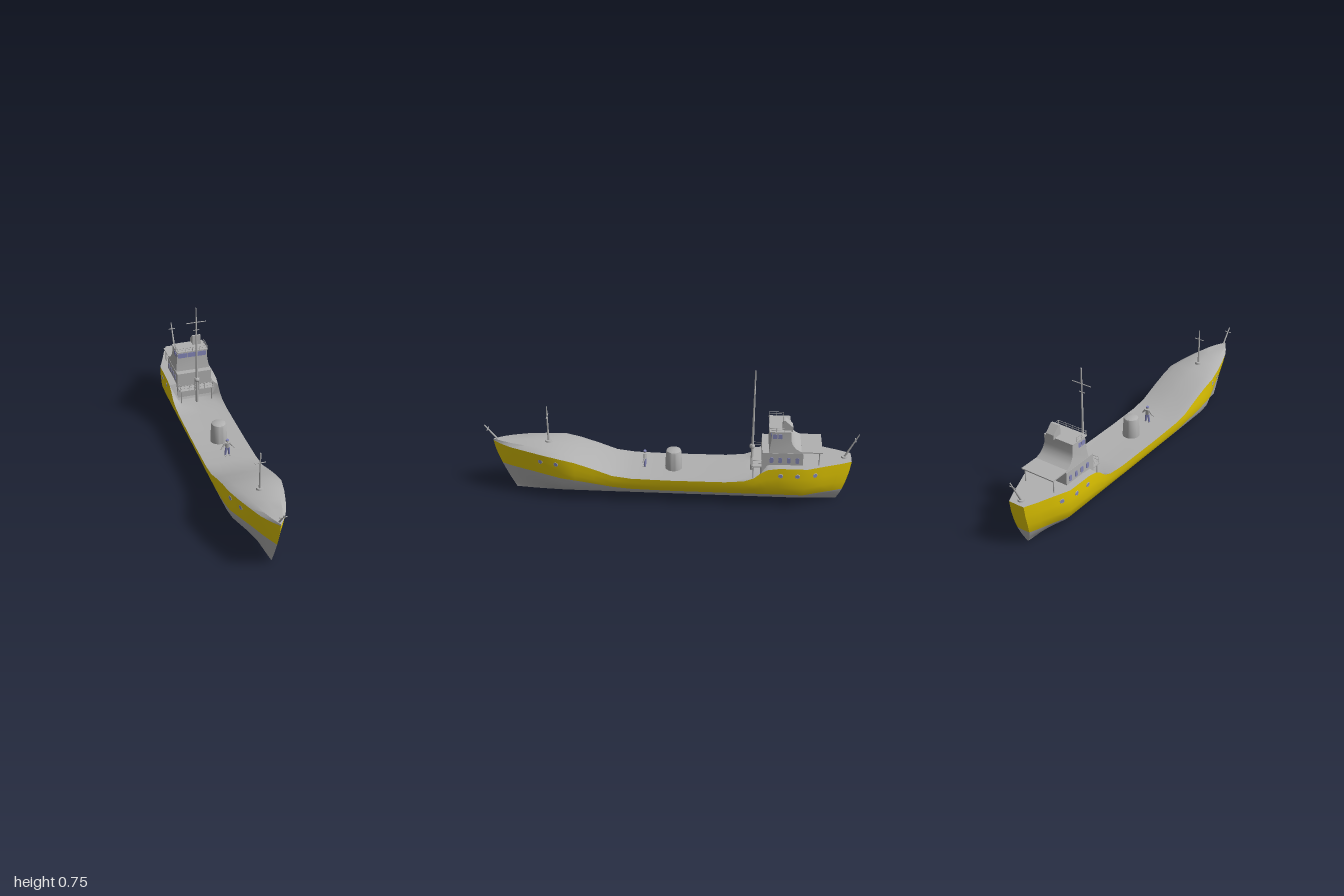
import * as THREE from 'three';
import { toCreasedNormals } from 'three/addons/utils/BufferGeometryUtils.js';

const mat = (name, color) => Object.assign(new THREE.MeshStandardMaterial({ color }), { name });
const grey = mat('grey paint', 0xb0b0b0);
const yellow = mat('yellow paint', 0xe3c800);
const blue = mat('blue glass and cloth', 0x8486b8);

// Hull stations from bow to stern: z, half width, deck edge y, paint line y, inner deck y
const stations = [
  [0.955, 0, 0.29, 0.15, 0.3], [0.9, 0.038, 0.288, 0.15, 0.302], [0.85, 0.064, 0.286, 0.149, 0.302],
  [0.77, 0.092, 0.283, 0.147, 0.302], [0.68, 0.118, 0.276, 0.145, 0.297], [0.58, 0.14, 0.266, 0.142, 0.284],
  [0.5, 0.14, 0.247, 0.135, 0.26], [0.4, 0.14, 0.213, 0.118, 0.222], [0.3, 0.14, 0.175, 0.097, 0.18],
  [0.2, 0.14, 0.162, 0.086, 0.162], [0, 0.14, 0.158, 0.08, 0.158], [-0.3, 0.14, 0.16, 0.08, 0.158],
  [-0.4, 0.14, 0.17, 0.08, 0.16], [-0.45, 0.14, 0.19, 0.08, 0.16], [-0.485, 0.14, 0.222, 0.08, 0.16],
  [-0.52, 0.14, 0.244, 0.08, 0.25], [-0.58, 0.14, 0.254, 0.08, 0.255], [-0.73, 0.14, 0.255, 0.08, 0.255],
  [-0.83, 0.1, 0.255, 0.08, 0.255], [-0.9, 0.074, 0.255, 0.08, 0.255], [-0.965, 0.045, 0.255, 0.08, 0.255],
  [-0.966, 0, 0.255, 0.08, 0.255],
];
const section = [[0, 0.14], [0.02, 0.36], [0.045, 0.62], [0.083, 0.86], [0.12, 0.95], [0.155, 1], [9, 1]];
const { lerp, clamp, smoothstep } = THREE.MathUtils;

// Linear lookup of column c in a table keyed by its first column
function lookup(table, t, c) {
  const sorted = [...table].sort((a, b) => a[0] - b[0]);
  let i = 0;
  while (i < sorted.length - 2 && sorted[i + 1][0] < t) i++;
  const [a, b] = [sorted[i], sorted[i + 1]];
  return lerp(a[c], b[c], clamp((t - a[0]) / (b[0] - a[0]), 0, 1));
}

// Half width and raked z of the hull skin at height y
function hullPoint(z, w, top, y) {
  const bow = smoothstep(z, 0.45, 0.9), up = clamp(y / top, 0, 1);
  const full = lerp(lookup(section, y, 1), 0.14 + 0.86 * up, bow * 0.8);
  const rake = z > 0 ? -0.11 * smoothstep(z, 0.5, 0.955) : 0.065 * smoothstep(-z, 0.55, 0.965);
  return [w * full, z + rake * (1 - up) ** 1.4];
}

// Surface through equal-length rows; bandOf gives the material index of each column
function skin(rows, flip, bandOf = () => 0, crease = 0.7) {
  const n = rows[0].length, bands = [[], []];
  for (let i = 0; i < rows.length - 1; i++) for (let k = 0; k < n - 1; k++) {
    const a = i * n + k, b = a + 1, c = b + n, d = a + n;
    bands[bandOf(k)].push(...(flip ? [a, c, b, a, d, c] : [a, b, c, a, c, d]));
  }
  const g = new THREE.BufferGeometry();
  g.setAttribute('position', new THREE.Float32BufferAttribute(rows.flat(2), 3));
  g.setIndex(bands.flat());
  g.addGroup(0, bands[0].length, 0);
  g.addGroup(bands[0].length, bands[1].length, 1);
  return toCreasedNormals(g, crease);
}

function add(parent, name, geo, material, x = 0, y = 0, z = 0) {
  const m = new THREE.Mesh(geo, material);
  m.name = name;
  m.position.set(x, y, z);
  parent.add(m);
  return m;
}
function group(parent, name) {
  const g = new THREE.Group();
  g.name = name;
  parent.add(g);
  return g;
}
const box = (p, name, w, h, d, x, y, z, m = grey) => add(p, name, new THREE.BoxGeometry(w, h, d), m, x, y, z);

// Round bar from a to b with end radii
function bar(p, name, a, b, r0 = 0.0018, r1 = r0, m = grey) {
  const A = new THREE.Vector3(...a), B = new THREE.Vector3(...b), dir = B.clone().sub(A);
  const mesh = add(p, name, new THREE.CylinderGeometry(r1, r0, dir.length(), 10), m);
  mesh.position.copy(A).add(B).multiplyScalar(0.5);
  mesh.quaternion.setFromUnitVectors(new THREE.Vector3(0, 1, 0), dir.normalize());
}

// Railing along floor points, with posts and two rails
function railing(p, name, pts, h) {
  const g = group(p, name);
  const up = ([x, y, z], k) => [x, y + h * k, z];
  pts.forEach((a, i) => {
    bar(g, 'railPost', a, up(a, 1), 0.0015);
    if (i) for (const k of [0.5, 1]) bar(g, 'rail', up(pts[i - 1], k), up(a, k), 0.0013);
  });
}

// Side profile of [z, y] points extruded across x, narrowed with height by taper(y)
function profile(pts, width, taper = () => 1) {
  const g = new THREE.ExtrudeGeometry(new THREE.Shape(pts.map(q => new THREE.Vector2(...q))),
    { depth: width, bevelEnabled: false });
  g.rotateY(-Math.PI / 2).translate(width / 2, 0, 0);
  const pos = g.attributes.position;
  for (let i = 0; i < pos.count; i++) pos.setX(i, pos.getX(i) * taper(pos.getY(i)));
  return toCreasedNormals(g, 0.5);
}

// Thin rounded window pane facing +z
function pane(w, h, r) {
  const s = new THREE.Shape(), x = w / 2 - r, y = h / 2 - r;
  s.absarc(x, y, r, 0, Math.PI / 2).absarc(-x, y, r, Math.PI / 2, Math.PI);
  s.absarc(-x, -y, r, Math.PI, Math.PI * 1.5).absarc(x, -y, r, Math.PI * 1.5, Math.PI * 2);
  return new THREE.ExtrudeGeometry(s, { depth: 0.004, bevelEnabled: false, curveSegments: 5 });
}

export function createModel() {
  const ship = new THREE.Group();
  ship.name = 'cargoShip';

  // Hull: grey below the paint line, yellow above
  const hullRows = stations.map(([z, w, top, line]) => {
    const ys = [1, 0.65, 0.3].map(k => lerp(line, top, k)).concat([1, 0.8, 0.6, 0.4, 0.2, 0].map(k => line * k));
    const side = ys.map(y => { const [x, pz] = hullPoint(z, w, top, y); return [x, y, pz]; });
    return [...side, ...[...side].reverse().map(([x, y, pz]) => [-x, y, pz])];
  });
  add(ship, 'hull', skin(hullRows, false, k => (k < 3 || k > 13 ? 1 : 0), 0.9), [grey, yellow]);

  // Deck with raised inner part fore and aft
  const deckRows = stations.map(([z, w, top, , inner]) =>
    [[1, top], [0.71, inner], [0, inner], [-0.71, inner], [-1, top]].map(([k, y]) => [w * k, y, z]));
  add(ship, 'deck', skin(deckRows, true), [grey, grey]);

  // Portholes set along the hull sides
  for (const [z, y] of [[0.69, 0.23], [0.6, 0.23], [-0.59, 0.21], [-0.68, 0.21], [-0.775, 0.21]]) {
    const at = q => hullPoint(q, lookup(stations, q, 1), lookup(stations, q, 2), y);
    const [x, pz] = at(z), [x2, z2] = at(z - 0.02);
    for (const s of [1, -1]) {
      const g = group(ship, 'porthole');
      g.position.set(s * x, y, pz);
      g.rotation.y = s * (Math.PI / 2 - Math.atan2(x2 - x, pz - z2));
      add(g, 'portholeRim', new THREE.TorusGeometry(0.011, 0.0025, 8, 20), grey);
      add(g, 'portholeGlass', new THREE.CylinderGeometry(0.011, 0.011, 0.004, 20).rotateX(Math.PI / 2), blue);
    }
  }

  // Deckhouse, bridge and funnel
  const house = group(ship, 'deckhouse');
  box(house, 'lowerHouse', 0.2, 0.165, 0.215, 0, 0.2425, -0.5975);
  const bridge = [[-0.525, 0.325], [-0.535, 0.4], [-0.535, 0.443], [-0.635, 0.443], [-0.637, 0.4],
    [-0.645, 0.375], [-0.665, 0.35], [-0.7, 0.332], [-0.7, 0.325]];
  add(house, 'bridge', profile(bridge, 0.196, y => lerp(1, 0.9, clamp((y - 0.325) / 0.07, 0, 1))), grey);
  box(house, 'bridgeRoof', 0.18, 0.005, 0.115, 0, 0.444, -0.5785);
  add(house, 'funnel', profile([[-0.59, 0.44], [-0.592, 0.503], [-0.603, 0.503], [-0.645, 0.465], [-0.645, 0.44]], 0.048),
    grey, 0.045, 0, 0);
  for (const x of [-0.057, 0, 0.057]) add(house, 'bridgeWindow', pane(0.054, 0.028, 0.005), blue, x, 0.417, -0.537);
  for (const s of [1, -1]) {
    for (const z of [-0.54, -0.585, -0.63, -0.675])
      add(house, 'cabinWindow', pane(0.019, 0.032, 0.007), blue, s * 0.099, 0.283, z).rotation.y = s * Math.PI / 2;
    for (const z of [-0.553, -0.58])
      add(house, 'bridgeSideWindow', pane(0.022, 0.026, 0.004), blue, s * 0.0865, 0.419, z).rotation.y = s * Math.PI / 2;
    bar(house, 'awningPost', [s * 0.088, 0.25, -0.79], [s * 0.088, 0.333, -0.79], 0.003);
    bar(house, 'platformPost', [s * 0.09, 0.155, -0.447], [s * 0.09, 0.238, -0.447], 0.003);
  }
  box(house, 'awning', 0.196, 0.006, 0.11, 0, 0.332, -0.75);
  box(house, 'frontPlatform', 0.2, 0.006, 0.055, 0, 0.238, -0.465);
  const xs = [-0.087, -0.04, 0, 0.04, 0.087];
  railing(house, 'roofRailing', [[-0.087, 0.446, -0.6], [-0.087, 0.446, -0.56], ...xs.map(x => [x, 0.446, -0.523]),
    [0.087, 0.446, -0.56], [0.087, 0.446, -0.6]], 0.023);
  railing(house, 'platformRailing', [[-0.097, 0.24, -0.49], ...xs.map(x => [x * 1.1, 0.24, -0.44]), [0.097, 0.24, -0.49]], 0.034);

  // Masts and slanted staffs with crossbars: foot, tip, radii, [fraction, half length]
  const masts = [
    ['mainMast', [0, 0.16, -0.44], [0, 0.755, -0.44], 0.008, 0.0035, [[0.852, 0.057], [0.773, 0.017]]],
    ['foreMast', [0, 0.285, 0.655], [0, 0.505, 0.655], 0.006, 0.003, [[0.74, 0.028]]],
    ['bowStaff', [0, 0.295, 0.93], [0, 0.382, 0.998], 0.005, 0.003, [[0.75, 0.02]]],
    ['sternStaff', [0, 0.25, -0.925], [0, 0.395, -0.998], 0.006, 0.003, [[0.76, 0.02]]],
  ];
  for (const [name, a, b, r0, r1, bars] of masts) {
    const g = group(ship, name);
    bar(g, 'pole', a, b, r0, r1);
    for (const [t, w] of bars) {
      const y = lerp(a[1], b[1], t), z = lerp(a[2], b[2], t);
      bar(g, 'crossbar', [-w, y, z], [w, y, z], 0.0025);
    }
  }
  add(ship, 'foreMastFoot', new THREE.CylinderGeometry(0.016, 0.02, 0.012, 20), grey, 0, 0.297, 0.655);
  add(ship, 'sternStaffFoot', new THREE.CylinderGeometry(0.016, 0.018, 0.01, 20), grey, 0, 0.258, -0.928);
  add(ship, 'mastLamp', new THREE.SphereGeometry(0.015, 14, 10), grey, 0, 0.305, -0.438);
  for (const x of [-0.012, 0.012]) bar(ship, 'mastStay', [x, 0.24, -0.438], [x, 0.318, -0.438], 0.003);

  // Ventilator drum on the well deck
  const drum = [[0.046, 0], [0.046, 0.012], [0.041, 0.1], [0.038, 0.108], [0.028, 0.113], [0, 0.115]];
  add(ship, 'deckDrum', toCreasedNormals(new THREE.LatheGeometry(drum.map(q => new THREE.Vector2(...q)), 32), 0.6),
    grey, 0, 0.157, -0.02);

  // Sailor
  const man = group(ship, 'sailor');
  man.position.set(0, 0.158, 0.135);
  for (const s of [1, -1]) {
    bar(man, 'leg', [s * 0.011, 0.004, 0], [s * 0.006, 0.05, 0], 0.005, 0.007, blue);
    box(man, 'shoe', 0.009, 0.006, 0.018, s * 0.011, 0.003, 0.004);
    bar(man, 'upperArm', [s * 0.012, 0.076, 0], [s * 0.026, 0.058, 0], 0.005, 0.004);
    bar(man, 'forearm', [s * 0.026, 0.058, 0], [s * 0.038, 0.045, 0.008], 0.004, 0.003);
  }
  add(man, 'torso', new THREE.CylinderGeometry(0.014, 0.011, 0.032, 14).scale(1, 1, 0.65), grey, 0, 0.064, 0);
  add(man, 'head', new THREE.SphereGeometry(0.008, 14, 10), grey, 0, 0.09, 0);
  add(man, 'cap', new THREE.CylinderGeometry(0.008, 0.009, 0.005, 14), blue, 0, 0.096, 0);
  return ship;
}
